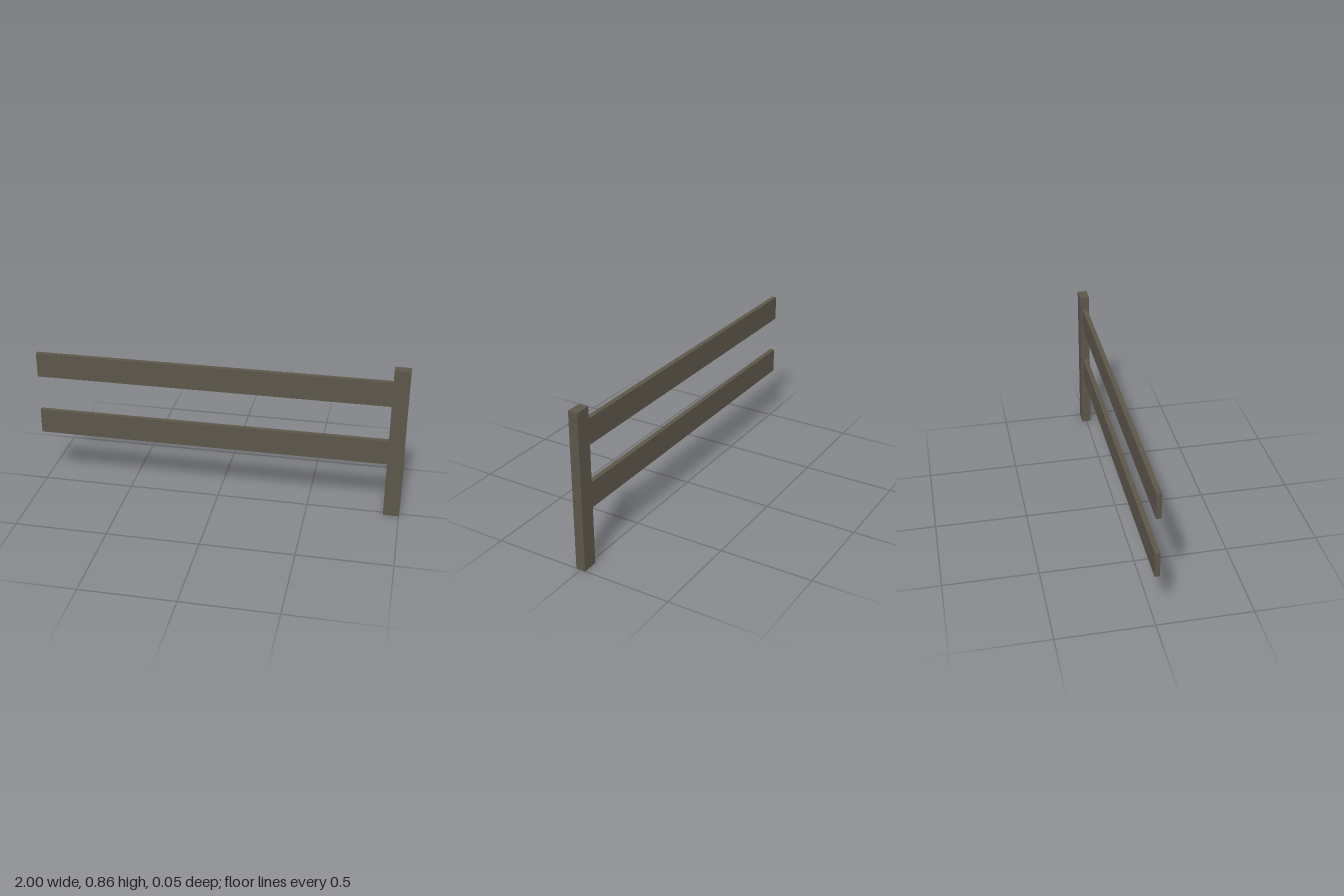
import * as THREE from 'three';

export function createModel() {
  const group = new THREE.Group();
  group.name = 'fenceSection';

  const wood = new THREE.MeshStandardMaterial({ color: 0x5c564a, side: THREE.DoubleSide });
  wood.name = 'weathered wood';

  // Box given by its extents, centred on z = 0
  const board = (x0, x1, y0, y1, depth) => {
    const geometry = new THREE.BoxGeometry(x1 - x0, y1 - y0, depth);
    return geometry.translate((x0 + x1) / 2, (y0 + y1) / 2, 0);
  };
  const add = (name, geometry) => {
    const mesh = new THREE.Mesh(geometry, wood);
    mesh.name = name;
    group.add(mesh);
  };

  // Post, hollow at the foot: drop the bottom face (fourth of six, six indices each)
  const post = board(0.915, 1, 0, 0.855, 0.052);
  const index = Array.from(post.index.array);
  index.splice(18, 6);
  post.setIndex(index);
  post.clearGroups();
  add('post', post);

  // Two horizontal rails butting against the post
  add('upperRail', board(-1, 0.915, 0.645, 0.781, 0.026));
  add('lowerRail', board(-1, 0.915, 0.306, 0.443, 0.026));

  return group;
}
